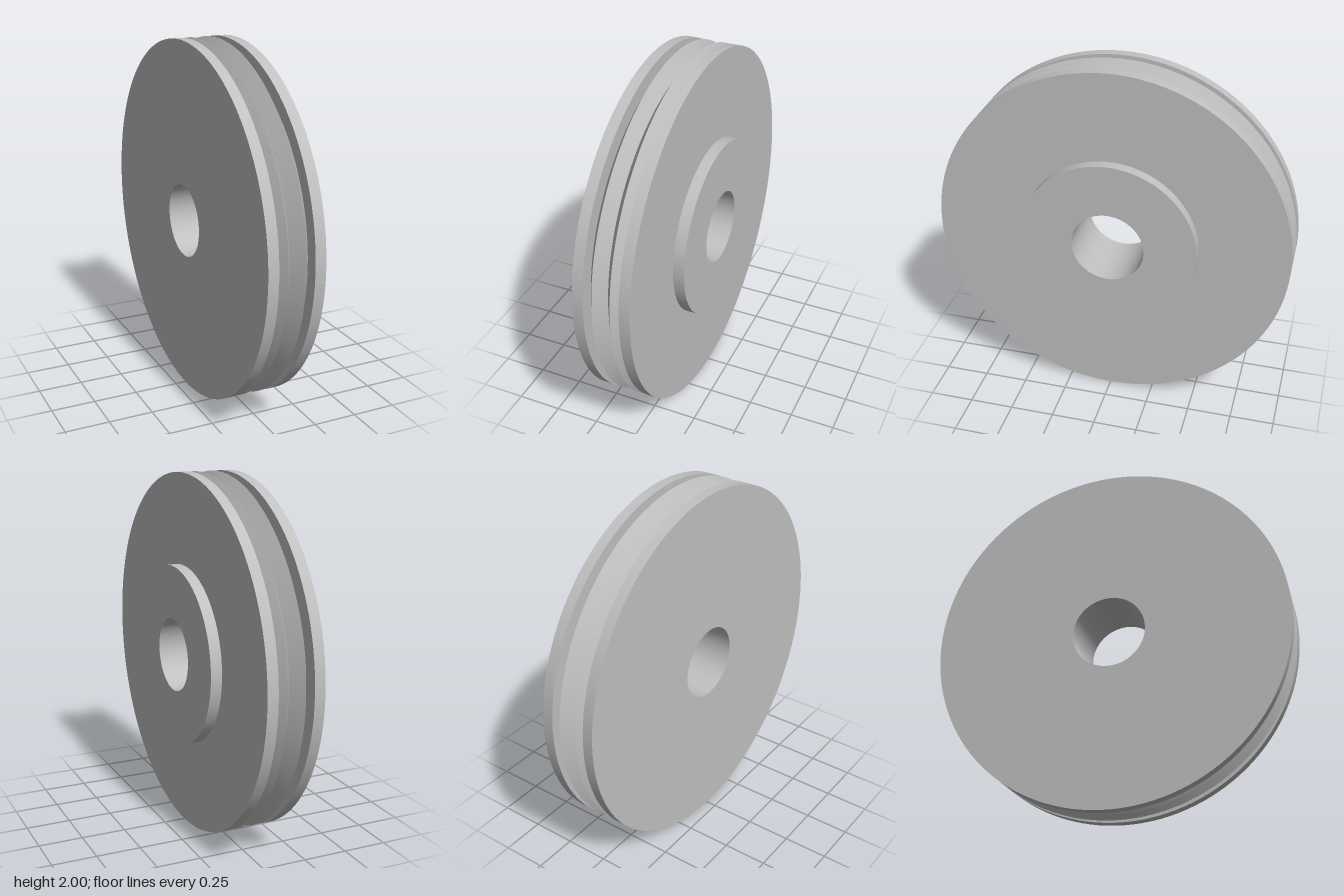
import * as THREE from 'three';
import { mergeGeometries } from 'three/addons/utils/BufferGeometryUtils.js';

const SEGMENTS = 128;

// Turn a profile of [radius, x] points about the x axis, keeping every corner sharp.
function turned(profile) {
  const bands = [];
  for (let i = 0; i < profile.length - 1; i++) {
    const pair = [profile[i], profile[i + 1]].map(([r, x]) => new THREE.Vector2(r, x));
    bands.push(new THREE.LatheGeometry(pair, SEGMENTS));
  }
  return mergeGeometries(bands).rotateZ(-Math.PI / 2);
}

export function createModel() {
  const group = new THREE.Group();
  group.name = 'groovedPulley';
  const metal = new THREE.MeshStandardMaterial({ color: 0xc0c0c0 });
  metal.name = 'grey metal';

  const outer = 1, hub = 0.5, bore = 0.205, end = 0.19, face = 0.127;

  const add = (name, profile) => {
    const mesh = new THREE.Mesh(turned(profile), metal);
    mesh.name = name;
    mesh.position.y = outer;
    group.add(mesh);
  };

  // Plain back flange with its flat end face
  add('backFlange', [[bore, -end], [outer, -end], [outer, -0.131], [0.915, -0.131]]);
  // Two V-shaped ribs between the flanges
  add('ribs', [[0.915, -0.131], [outer, -0.082], [0.92, -0.032], [outer, 0.018], [0.925, 0.067]]);
  // Flange on the hub side
  add('hubFlange', [[0.925, 0.067], [outer, 0.067], [outer, face], [hub, face]]);
  // Raised hub
  add('hub', [[hub, face], [hub, end], [bore, end]]);
  // Through hole
  add('bore', [[bore, end], [bore, -end]]);

  return group;
}
